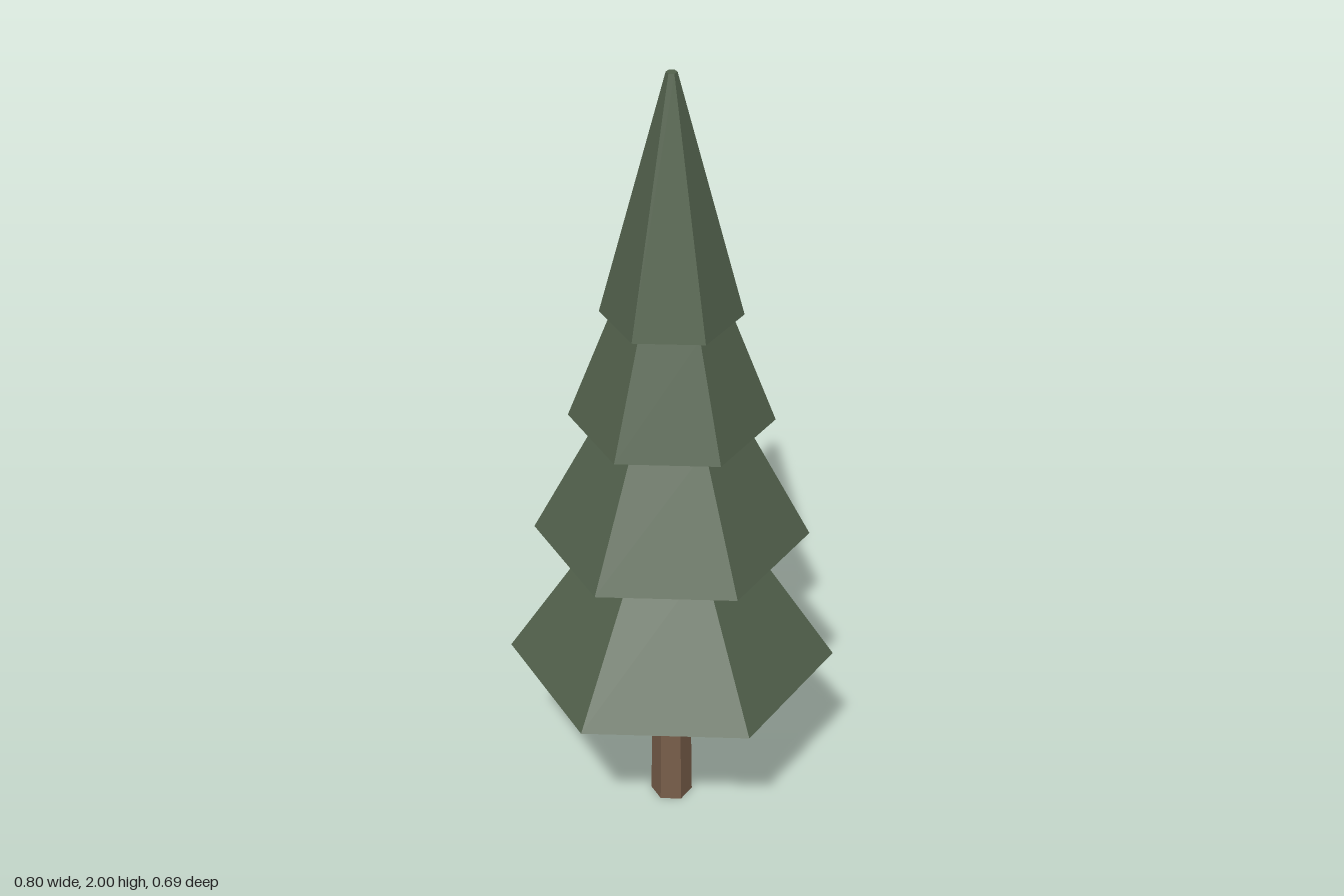
import * as THREE from 'three';

// Six-sided frustum with corners on the x axis
function hexFrustum(name, y0, y1, r0, r1, material) {
  const geometry = new THREE.CylinderGeometry(r1, r0, y1 - y0, 6, 1, false, Math.PI / 6).toNonIndexed();
  geometry.computeVertexNormals(); // flat facets
  const mesh = new THREE.Mesh(geometry, material);
  mesh.name = name;
  mesh.position.y = (y0 + y1) / 2;
  return mesh;
}

export function createModel() {
  const needles = new THREE.MeshStandardMaterial({ color: 0x53624d });
  needles.name = 'needle green';
  const bark = new THREE.MeshStandardMaterial({ color: 0x785e4a });
  bark.name = 'bark brown';

  const tree = new THREE.Group();
  tree.name = 'pineTree';

  // Trunk, slightly tapered
  tree.add(hexFrustum('trunk', 0, 0.445, 0.052, 0.046, bark));

  // Branch tiers from bottom to top: bottom y, top y, bottom radius, top radius
  const tiers = [
    [0.445, 0.803, 0.4, 0.168],
    [0.803, 1.122, 0.332, 0.168],
    [1.122, 1.402, 0.244, 0.139],
    [1.402, 2, 0.167, 0.013],
  ];
  tiers.forEach(([y0, y1, r0, r1], i) => {
    tree.add(hexFrustum(`branchTier${i + 1}`, y0, y1, r0, r1, needles));
  });

  return tree;
}
